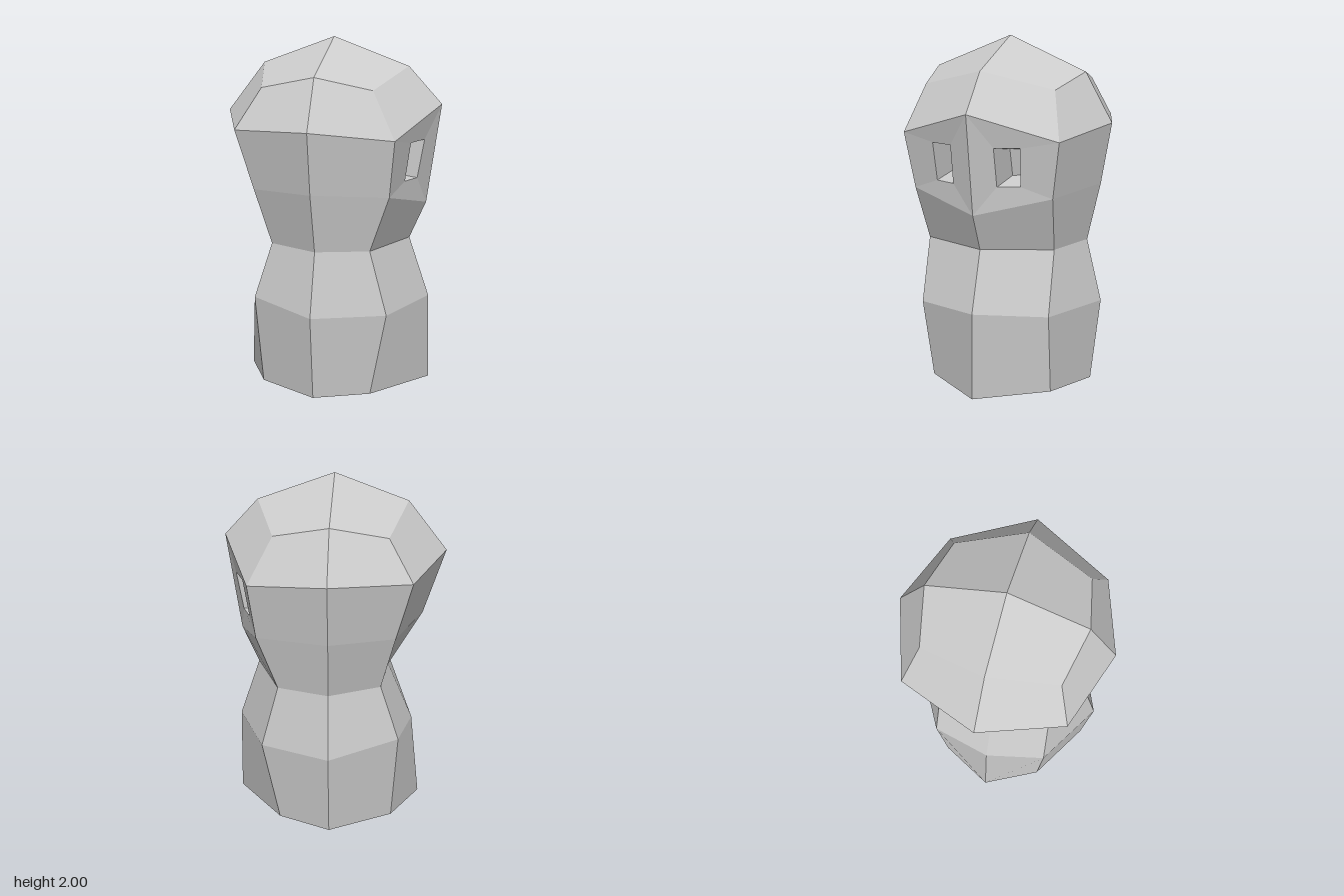
import * as THREE from 'three';

const material = new THREE.MeshStandardMaterial({ color: 0xcccccc });

// Half cross-sections from the face (+x) round to the back (-x), bottom to top
const HALF_RINGS = [
  [[0.58, 0, 0], [0.305, 0, 0.37], [0.005, 0, 0.51], [-0.35, 0, 0.305], [-0.51, 0, 0]],
  [[0.572, 0.5, 0], [0.4, 0.48, 0.39], [0.005, 0.485, 0.567], [-0.385, 0.52, 0.345], [-0.46, 0.5, 0]],
  [[0.455, 0.845, 0], [0.302, 0.845, 0.385], [0.01, 0.845, 0.48], [-0.28, 0.845, 0.335], [-0.315, 0.845, 0]],
  [[0.55, 1.06, 0], [0.415, 1.16, 0.415], [0.005, 1.18, 0.555], [-0.36, 1.17, 0.41], [-0.51, 1.18, 0]],
  [[0.632, 1.63, 0], [0.452, 1.48, 0.463], [0.005, 1.53, 0.615], [-0.45, 1.51, 0.465], [-0.635, 1.56, 0]],
  [[0.44, 1.84, 0], [0.315, 1.74, 0.387], [0.003, 1.81, 0.455], [-0.315, 1.74, 0.387], [-0.415, 1.845, 0]],
];
const EYE_RING = 3; // the eyes sit between this ring and the next

// Corners of the eye socket at its mouth and at its floor
const EYE_MOUTH = [[0.557, 1.445, 0.127], [0.503, 1.443, 0.26], [0.47, 1.225, 0.25], [0.518, 1.225, 0.13]];
const EYE_FLOOR = [[0.367, 1.41, 0.145], [0.313, 1.41, 0.235], [0.28, 1.255, 0.23], [0.328, 1.255, 0.145]];

const mirrorZ = ([x, y, z]) => [x, y, -z];
const fullRing = (half) => [...half, ...half.slice(1, 4).reverse().map(mirrorZ)];

// Pulls a point towards the axis by the wall thickness
function inset([x, y, z], drop) {
  const r = Math.hypot(x, z);
  const s = (r - 0.1) / r;
  return [x * s, y - drop, z * s];
}

// Facet split along a-c, shaded evenly with one normal across both triangles
function addQuad(out, a, b, c, d, flip = false) {
  const [va, vb, vc, vd] = [a, b, c, d].map((p) => new THREE.Vector3(...p));
  const normal = vc.sub(va).cross(vd.sub(vb)).normalize();
  if (flip) normal.negate();
  const corners = flip ? [a, c, b, a, d, c] : [a, b, c, a, c, d];
  for (const p of corners) {
    out.positions.push(...p);
    out.normals.push(normal.x, normal.y, normal.z);
  }
}

// Four quads joining two four-cornered loops
function addFrame(out, outer, inner, flip) {
  for (let k = 0; k < 4; k++) {
    const n = (k + 1) % 4;
    addQuad(out, outer[k], outer[n], inner[n], inner[k], flip);
  }
}

function makeMesh(name, build) {
  const out = { positions: [], normals: [] };
  build(out);
  const geometry = new THREE.BufferGeometry();
  geometry.setAttribute('position', new THREE.Float32BufferAttribute(out.positions, 3));
  geometry.setAttribute('normal', new THREE.Float32BufferAttribute(out.normals, 3));
  const mesh = new THREE.Mesh(geometry, material);
  mesh.name = name;
  return mesh;
}

// Faceted eight-sided skin with two eye openings and a four-panel crown
function addSkin(out, rings, apex, eye, flip) {
  for (let r = 0; r < rings.length - 1; r++) {
    const lo = rings[r], hi = rings[r + 1];
    for (let i = 0; i < 8; i++) {
      const n = (i + 1) % 8;
      if (r === EYE_RING && i === 0) {
        addFrame(out, [hi[0], hi[1], lo[1], lo[0]], eye, flip);
      } else if (r === EYE_RING && i === 7) {
        addFrame(out, [hi[0], hi[7], lo[7], lo[0]], eye.map(mirrorZ), !flip);
      } else if (i < 4) {
        addQuad(out, lo[n], lo[i], hi[i], hi[n], flip);
      } else {
        addQuad(out, lo[i], hi[i], hi[n], lo[n], flip);
      }
    }
  }
  const top = rings[rings.length - 1];
  for (let i = 0; i < 8; i += 2) {
    addQuad(out, apex, top[(i + 2) % 8], top[i + 1], top[i], flip);
  }
}

// Deep tapered socket, its floor closed on both faces
function makeSocket(name, mouth, floor, flip) {
  return makeMesh(name, (out) => {
    addFrame(out, mouth, floor, flip);
    addQuad(out, ...floor, false);
    addQuad(out, ...floor, true);
  });
}

export function createModel() {
  const model = new THREE.Group();
  model.name = 'hollowFigure';

  const outer = HALF_RINGS.map(fullRing);
  const drops = [0, 0, 0, 0, 0.03, 0.07];
  const inner = outer.map((ring, r) => ring.map((p) => inset(p, drops[r])));

  model.add(makeMesh('outerShell', (out) => addSkin(out, outer, [0.003, 2, 0], EYE_MOUTH, false)));
  model.add(makeMesh('innerShell', (out) => addSkin(out, inner, [0, 1.91, 0], EYE_FLOOR, true)));

  // Flat rim joining the two skins at the open base
  model.add(makeMesh('baseRim', (out) => {
    for (let i = 0; i < 8; i++) {
      const n = (i + 1) % 8;
      addQuad(out, outer[0][i], outer[0][n], inner[0][n], inner[0][i]);
    }
  }));

  model.add(makeSocket('leftEyeSocket', EYE_MOUTH, EYE_FLOOR, false));
  model.add(makeSocket('rightEyeSocket', EYE_MOUTH.map(mirrorZ), EYE_FLOOR.map(mirrorZ), true));

  return model;
}
